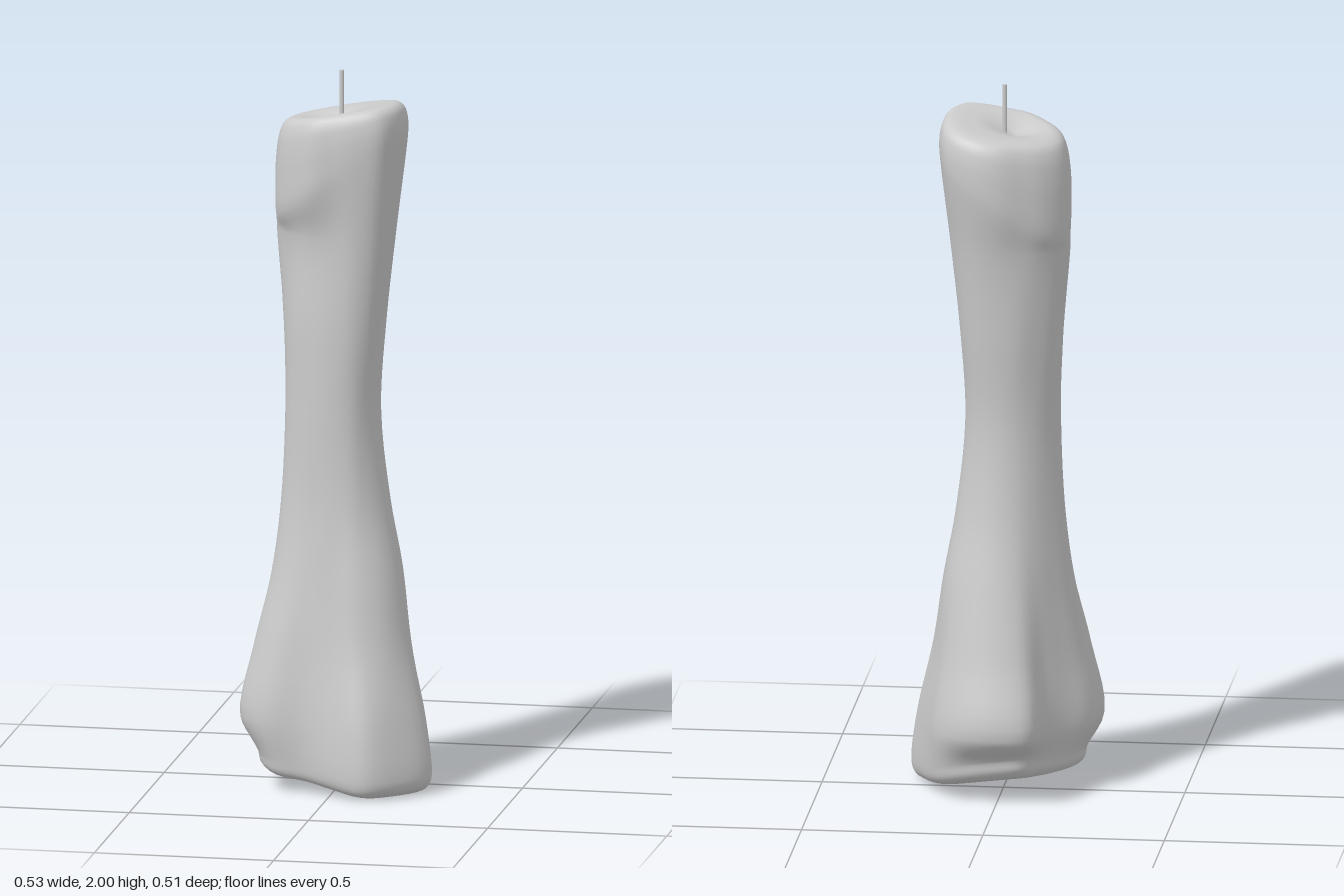
import * as THREE from 'three';

const SIDES = 64, STEPS = 5;

// Shaft cross-sections: height, then 16 radii from +x round through +z
const sections = [
  [0.20, [.225, .265, .262, .262, .215, .21, .268, .288, .24, .19, .187, .25, .253, .25, .235, .215]],
  [0.40, [.19, .215, .22, .21, .185, .19, .235, .25, .21, .175, .17, .205, .21, .21, .2, .185]],
  [0.60, [.165, .18, .185, .178, .16, .165, .19, .2, .18, .155, .15, .162, .165, .168, .168, .165]],
  [0.80, [.13, .135, .14, .145, .142, .145, .16, .172, .163, .14, .13, .128, .126, .126, .125, .128]],
  [1.05, [.105, .107, .115, .128, .134, .142, .15, .16, .154, .135, .122, .114, .108, .104, .102, .102]],
  [1.30, [.118, .122, .132, .135, .133, .138, .15, .158, .165, .155, .14, .135, .13, .128, .125, .12]],
  [1.55, [.143, .148, .155, .145, .132, .132, .142, .158, .185, .18, .165, .155, .155, .158, .155, .148]],
];
const foot = [.235, .285, .28, .277, .222, .205, .245, .24, .205, .17, .16, .19, .19, .2, .215, .215];
const head = [.173, .178, .184, .165, .157, .169, .173, .184, .188, .192, .184, .177, .187, .195, .198, .182];

// Heights of the tilted lower end and of the hollowed upper end
const bottomY = (x, z) =>
  Math.max(0.003, 0.04 - 0.12 * x - 0.1 * z + Math.max(0, -z - 0.05) ** 2);
const topY = (x, z) => 1.89 + 0.17 * x + 0.1 * z
  - 0.03 * Math.exp(-((x + 0.03) ** 2 + (z - 0.01) ** 2) / 0.004);

// A smooth closed ring through scaled radii, with a height rule
function ring(radii, scale, height) {
  const pts = radii.map((r, i) => {
    const a = i / radii.length * Math.PI * 2;
    return new THREE.Vector3(Math.cos(a) * r * scale, 0, Math.sin(a) * r * scale);
  });
  const curve = new THREE.CatmullRomCurve3(pts, true);
  return Array.from({ length: SIDES }, (_, j) => {
    const p = curve.getPoint(j / SIDES);
    p.y = height(p.x, p.z);
    return p;
  });
}

function boneGeometry() {
  const rows = [];
  // Rounded lower end: scale and rise above the end surface
  for (const [s, rise] of [[0.001, 0], [0.3, 0], [0.6, 0], [0.82, 0], [0.91, 0.006], [0.97, 0.02], [1, 0.05]])
    rows.push(ring(foot, s, (x, z) => bottomY(x, z) + rise));
  for (const [y, radii] of sections) rows.push(ring(radii, 1, () => y));
  // Rounded upper end: softer towards -x, steeper towards +x
  for (const [s, drop] of [[0.985, 0.19], [1, 0.12], [0.985, 0.07], [0.94, 0.03], [0.86, 0.008],
    [0.72, 0], [0.52, 0], [0.35, 0], [0.18, 0], [0.001, 0]])
    rows.push(ring(head, s, (x, z) => topY(x, z) - drop * (1 - 2.3 * x)));

  // Smooth each column lengthwise, then stitch the grid
  const count = (rows.length - 1) * STEPS;
  const pos = new Float32Array((count + 1) * SIDES * 3);
  for (let j = 0; j < SIDES; j++) {
    const column = new THREE.CatmullRomCurve3(rows.map(r => r[j]));
    for (let i = 0; i <= count; i++)
      column.getPoint(i / count).toArray(pos, (i * SIDES + j) * 3);
  }
  const index = [];
  for (let i = 0; i < count; i++) {
    for (let j = 0; j < SIDES; j++) {
      const k = (j + 1) % SIDES;
      const a = i * SIDES + j, b = i * SIDES + k;
      index.push(a, a + SIDES, b, b, a + SIDES, b + SIDES);
    }
  }
  const geo = new THREE.BufferGeometry();
  geo.setAttribute('position', new THREE.BufferAttribute(pos, 3));
  geo.setIndex(index);
  geo.computeVertexNormals();
  return geo;
}

export function createModel() {
  const group = new THREE.Group();
  group.name = 'boneOnPin';
  const material = new THREE.MeshStandardMaterial({ color: 0xcccccc });

  const bone = new THREE.Mesh(boneGeometry(), material);
  bone.name = 'bone';
  group.add(bone);

  // Thin pin standing out of the upper end
  const pin = new THREE.Mesh(new THREE.CylinderGeometry(0.006, 0.006, 0.16, 10), material);
  pin.name = 'pin';
  pin.position.set(-0.004, 1.92, 0);
  group.add(pin);
  return group;
}
